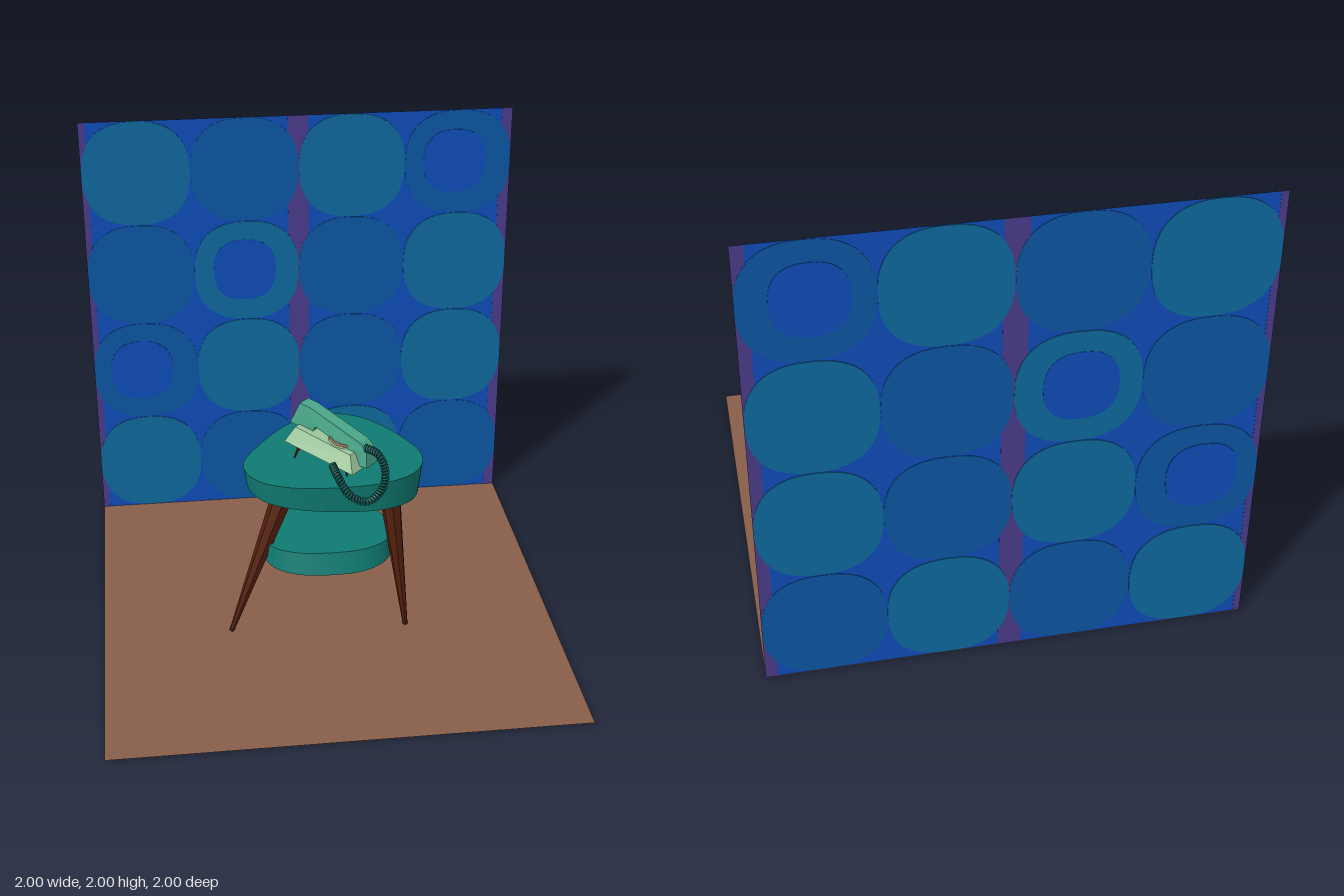
import * as THREE from 'three';
import { toCreasedNormals } from 'three/addons/utils/BufferGeometryUtils.js';

const mat = (name, color, side = THREE.FrontSide) => {
  const m = new THREE.MeshStandardMaterial({ color, side });
  m.name = name;
  return m;
};
const V = (x, y, z) => new THREE.Vector3(x, y, z);

export function createModel() {
  const model = new THREE.Group();
  const wallBlue = mat('wall blue', 0x0f4dba, THREE.DoubleSide);
  const midBlue = mat('mid blue', 0x0c57a4);
  const tealBlue = mat('teal blue', 0x0e6a9f);
  const purple = mat('stripe purple', 0x4c3b8c);
  const brown = mat('floor brown', 0x875f4a, THREE.DoubleSide);
  const teal = mat('table teal', 0x0f7b72);
  const wood = mat('dark wood', 0x54200d);
  const paleGreen = mat('pale green', 0x9cc69b);
  const green = mat('handset green', 0x4aa88a);
  const darkTeal = mat('cord teal', 0x0d5750);

  const add = (parent, name, geo, material, x = 0, y = 0, z = 0) => {
    const mesh = new THREE.Mesh(geo, material);
    mesh.name = name;
    mesh.position.set(x, y, z);
    parent.add(mesh);
    return mesh;
  };

  // Floor and wall
  add(model, 'floor', new THREE.PlaneGeometry(2, 2).rotateX(-Math.PI / 2), brown);
  const wall = new THREE.Group();
  wall.name = 'wall';
  wall.position.set(0, 1, -0.996);
  model.add(wall);
  add(wall, 'wallPanel', new THREE.PlaneGeometry(2, 2), wallBlue);

  // Thin wall patterns straddle the panel so they show on both sides
  const layer = 0.0022;
  for (const [x, w] of [[-0.985, 0.03], [-0.002, 0.095], [0.975, 0.05]])
    add(wall, 'wallStripe', new THREE.BoxGeometry(w, 2, layer), purple, x);

  const disc = (name, x, y, rx, ry, level, material) => {
    const pts = [];
    for (let i = 0; i < 40; i++) {
      const a = (i / 40) * Math.PI * 2, c = Math.cos(a), s = Math.sin(a);
      pts.push(new THREE.Vector2(
        rx * Math.sign(c) * Math.abs(c) ** 0.82, ry * Math.sign(s) * Math.abs(s) ** 0.82));
    }
    const depth = layer * level;
    const geo = new THREE.ExtrudeGeometry(new THREE.Shape(pts), { depth, bevelEnabled: false });
    add(wall, name, geo.translate(0, 0, -depth / 2), material, x, y - 1);
  };
  ['TMTM', 'MTMT', 'MTMT', 'TMTM'].forEach((row, r) => [...row].forEach((kind, c) => {
    const isTeal = kind === 'T';
    disc('wallDisc', -0.75 + c * 0.5, 1.75 - r * 0.5, isTeal ? 0.248 : 0.25, 0.248,
      isTeal ? 3 : 2, isTeal ? tealBlue : midBlue);
  }));
  for (const [x, y] of [[0.735, 1.755], [-0.26, 1.255], [-0.77, 0.755]])
    disc('wallDiscCentre', x, y, 0.148, 0.152, 4, wallBlue);

  // Rounded three-cornered slab; rule(vertex, isTop) shapes the two faces
  const outline = [[0.06, -0.37], [0.2, -0.32], [0.33, -0.16], [0.42, 0.06], [0.38, 0.2],
    [0.25, 0.285], [0.05, 0.31], [-0.18, 0.285], [-0.31, 0.21], [-0.36, 0.07],
    [-0.26, -0.13], [-0.1, -0.31]];
  const curve = new THREE.CatmullRomCurve3(outline.map(([x, z]) => V(x, -z, 0)), true);
  const slab = (name, rule) => {
    const shape = new THREE.Shape(curve.getPoints(72).slice(0, -1).map(p => new THREE.Vector2(p.x, p.y)));
    const geo = new THREE.ExtrudeGeometry(shape, { depth: 1, bevelEnabled: false }).rotateX(-Math.PI / 2);
    const pos = geo.attributes.position;
    for (let i = 0; i < pos.count; i++) {
      const p = V().fromBufferAttribute(pos, i);
      rule(p, p.y > 0.5);
      pos.setXYZ(i, p.x, p.y, p.z);
    }
    add(model, name, toCreasedNormals(geo, 0.6), teal);
  };
  slab('tableTop', (p, top) => {
    if (!top) { p.x *= 0.96; p.z *= 0.97; }
    p.y = top ? 0.785 : 0.672 - 0.07 * p.x - 0.03 * p.z;
  });
  slab('lowerShelf', (p, top) => {
    p.x = p.x * 0.74 - 0.02;
    p.z *= 0.82;
    p.y = top ? 0.43 : 0.35 - 0.07 * p.z;
    if (!top && p.z > 0) p.z *= 1.1;
  });

  // Tapered cylinder between two points
  const rod = (parent, name, a, b, ra, rb, sides, material) => {
    const dir = b.clone().sub(a);
    const geo = new THREE.CylinderGeometry(rb, ra, dir.length(), sides).toNonIndexed();
    geo.computeVertexNormals();
    const mesh = add(parent, name, geo, material);
    mesh.position.copy(a).lerp(b, 0.5);
    mesh.quaternion.setFromUnitVectors(V(0, 1, 0), dir.normalize());
  };
  rod(model, 'leftBackdropLeg', V(-0.435, 0, 0.165), V(-0.165, 0.72, 0.1), 0.011, 0.054, 7, wood);
  rod(model, 'rightBackdropLeg', V(0.342, 0, 0.205), V(0.262, 0.7, 0.16), 0.011, 0.05, 7, wood);
  rod(model, 'backLeg', V(0.07, 0, -0.368), V(0.065, 0.7, -0.285), 0.011, 0.045, 7, wood);

  // Telephone, its length along local z with the front lowest
  const phone = new THREE.Group();
  phone.name = 'telephone';
  phone.position.set(0.027, 0, 0.06);
  phone.rotation.y = 0.82;
  model.add(phone);

  const body = new THREE.BoxGeometry(1, 1, 1).toNonIndexed();
  const bp = body.attributes.position;
  for (let i = 0; i < bp.count; i++) {
    const top = bp.getY(i) > 0;
    const z = bp.getZ(i) * (top ? 0.29 : 0.36);
    bp.setXYZ(i, bp.getX(i) * (top ? 0.14 : 0.205), top ? 0.905 - 0.16 * z : 0.836 - 0.14 * z, z);
  }
  body.computeVertexNormals();
  add(phone, 'phoneBody', body, paleGreen);

  for (const x of [-1, 1]) for (const z of [-1, 1])
    rod(phone, 'phoneFoot', V(x * 0.085, 0.785, z * 0.14), V(x * 0.07, 0.85, z * 0.12), 0.003, 0.011, 6, wood);

  // Dial with a raised ring
  const dial = new THREE.Group();
  dial.name = 'dial';
  dial.position.set(0, 0.898, 0.06);
  dial.rotation.x = 0.16;
  phone.add(dial);
  add(dial, 'dialPlate', new THREE.CylinderGeometry(0.06, 0.066, 0.012, 28), paleGreen);
  add(dial, 'dialRing', new THREE.TorusGeometry(0.056, 0.007, 6, 28).rotateX(Math.PI / 2), brown, 0, 0.006);

  // Handset: side profile extruded across, narrower towards the top
  const profile = [[-0.195, 0.925], [-0.15, 1.025], [-0.1, 1.02], [0.17, 0.93], [0.2, 0.9],
    [0.21, 0.825], [0.135, 0.825], [0.115, 0.885], [-0.06, 0.94], [-0.08, 0.905]];
  const handset = new THREE.ExtrudeGeometry(
    new THREE.Shape(profile.map(([z, y]) => new THREE.Vector2(-z, y))), { depth: 0.08, bevelEnabled: false });
  handset.translate(0, 0, -0.04).rotateY(Math.PI / 2);
  const hp = handset.attributes.position;
  for (let i = 0; i < hp.count; i++) {
    const lift = hp.getY(i) - (0.9 - 0.3 * hp.getZ(i));
    hp.setX(i, hp.getX(i) * (lift > 0.04 ? 0.75 : 1));
  }
  handset.computeVertexNormals();
  add(phone, 'handset', handset, green);

  // Coiled cord: a helix wound round a drooping path
  const path = new THREE.CatmullRomCurve3([V(0.15, 0.91, 0.2), V(0.2, 0.905, 0.265),
    V(0.222, 0.84, 0.305), V(0.2, 0.765, 0.325), V(0.14, 0.725, 0.338), V(0.07, 0.755, 0.33),
    V(0.03, 0.81, 0.28), V(0.01, 0.835, 0.2)]);
  const steps = 440, turns = 44;
  const frames = path.computeFrenetFrames(steps);
  const coil = [];
  for (let i = 0; i <= steps; i++) {
    const a = (i / steps) * turns * Math.PI * 2;
    coil.push(path.getPointAt(i / steps)
      .addScaledVector(frames.normals[i], 0.013 * Math.cos(a))
      .addScaledVector(frames.binormals[i], 0.013 * Math.sin(a)));
  }
  add(model, 'coiledCord', new THREE.TubeGeometry(new THREE.CatmullRomCurve3(coil), 528, 0.0055, 6), darkTeal);

  return model;
}
